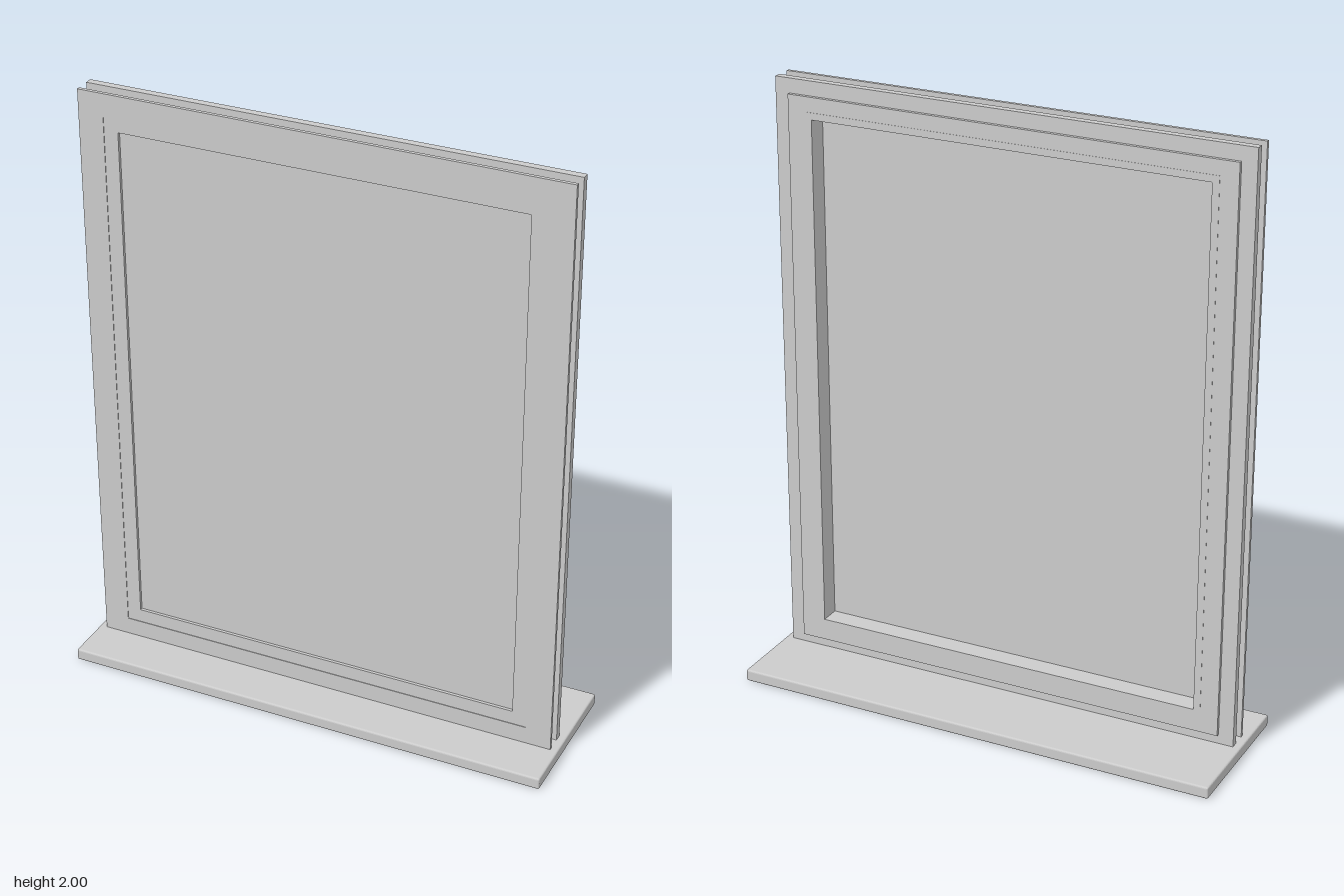
import * as THREE from 'three';
import { RoundedBoxGeometry } from 'three/addons/geometries/RoundedBoxGeometry.js';

const material = new THREE.MeshStandardMaterial({ color: 0xcccccc, flatShading: true });

function add(parent, name, geometry) {
  const mesh = new THREE.Mesh(geometry, material);
  mesh.name = name;
  parent.add(mesh);
  return mesh;
}

// Rectangle as [half width, bottom, top]
function rect(Type, [w, y0, y1]) {
  const p = new Type();
  p.moveTo(-w, y0);
  p.lineTo(w, y0);
  p.lineTo(w, y1);
  p.lineTo(-w, y1);
  p.closePath();
  return p;
}

// Rectangular ring between two outlines, from z0 to z1
function ring(parent, name, outer, inner, z0, z1) {
  const shape = rect(THREE.Shape, outer);
  shape.holes.push(rect(THREE.Path, inner));
  const g = new THREE.ExtrudeGeometry(shape, { depth: z1 - z0, bevelEnabled: false });
  g.translate(0, 0, z0);
  return add(parent, name, g);
}

export function createModel() {
  const model = new THREE.Group();
  model.name = 'window';

  // Sill board with softened edges
  const sill = add(model, 'sill', new RoundedBoxGeometry(1.65, 0.04, 0.5, 2, 0.006));
  sill.position.y = 0.02;

  // The window leans very slightly towards the front
  const unit = new THREE.Group();
  unit.name = 'windowUnit';
  unit.rotation.x = 0.0065;
  model.add(unit);

  const outline = [0.8, 0.035, 2];
  const core = [0.75, 0.072, 1.952];
  const rebate = [0.715, 0.1, 1.922];
  const bead = [0.69, 0.127, 1.903];
  const opening = [0.667, 0.147, 1.88];

  // Outer frame: two flanges with a narrower core between them
  ring(unit, 'frontFlange', outline, rebate, 0.08, 0.092);
  ring(unit, 'frameCore', core, opening, 0.036, 0.081);
  ring(unit, 'backFlange', outline, opening, 0.012, 0.037);

  // Sash, nearly flush in front and raised at the back
  ring(unit, 'sashFront', rebate, opening, 0.08, 0.09);
  ring(unit, 'sashBack', core, opening, 0, 0.013);
  ring(unit, 'glazingBead', bead, opening, -0.001, 0.001);

  // Pane
  const pane = add(unit, 'pane', new THREE.BoxGeometry(1.34, 1.74, 0.013));
  pane.position.set(0, (opening[1] + opening[2]) / 2, 0.0735);

  return model;
}
